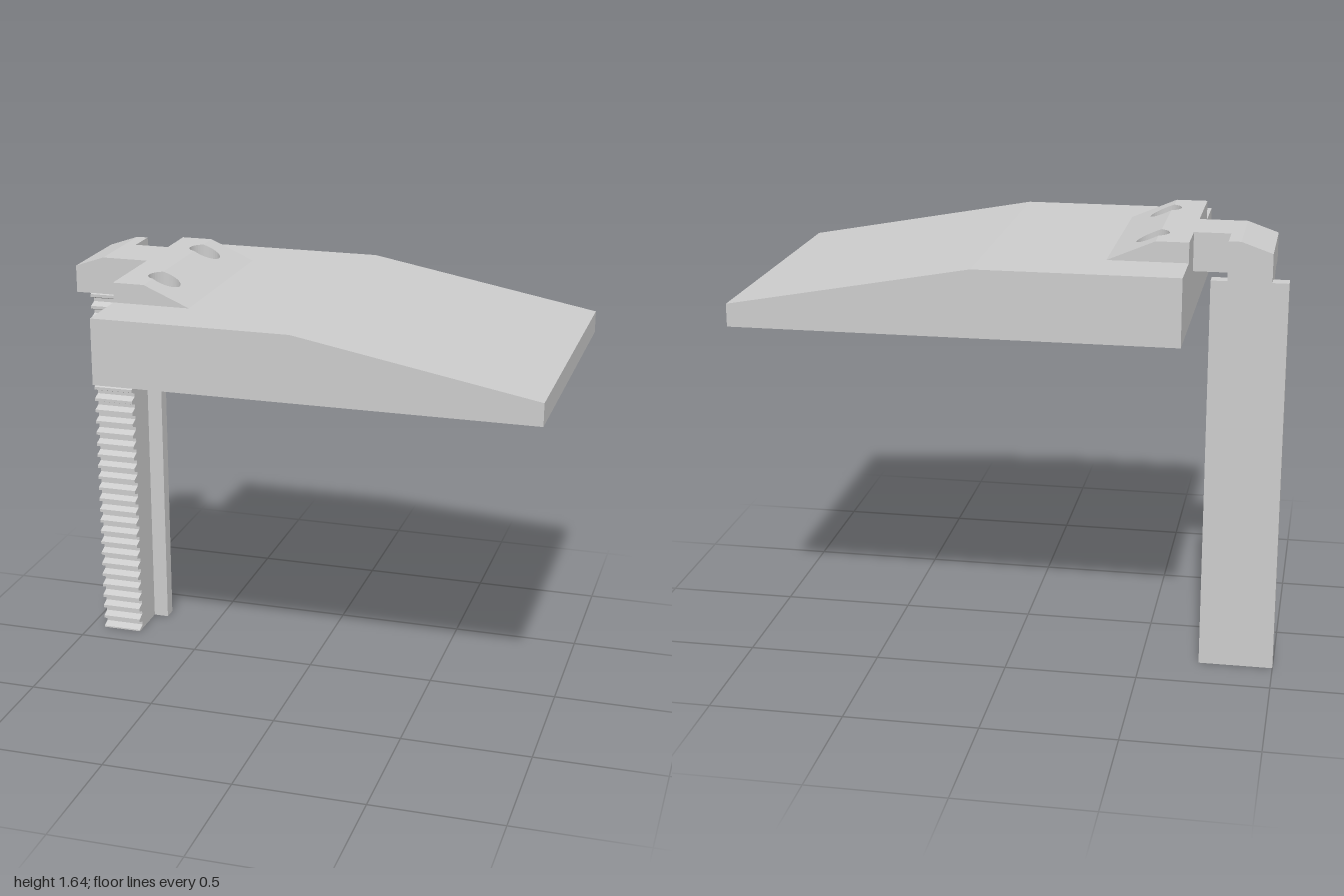
import * as THREE from 'three';

const material = new THREE.MeshStandardMaterial({ color: 0xcccccc });

const toShape = (pts) => new THREE.Shape(pts.map(([x, y]) => new THREE.Vector2(x, y)));
const extrude = (pts, depth) =>
  new THREE.ExtrudeGeometry(toShape(pts), { depth, bevelEnabled: false });

function add(parent, name, geometry) {
  const mesh = new THREE.Mesh(geometry, material);
  mesh.name = name;
  parent.add(mesh);
}

// Plan outline in (x, -z) raised from yBottom to a height given by top(x)
function slab(pts, yBottom, top) {
  const g = extrude(pts, 1).rotateX(-Math.PI / 2);
  const p = g.attributes.position;
  for (let i = 0; i < p.count; i++) p.setY(i, p.getY(i) > 0.5 ? top(p.getX(i)) : yBottom);
  g.computeVertexNormals();
  return g;
}

// Screw hole arc on one side of the bend line, listed with rising second coordinate
const BEND = -0.525, HOLE_X = -0.5, HOLE_V = 0.225;
function holeArc(v, r, side) {
  const a = Math.acos((BEND - HOLE_X) / r);
  const from = side < 0 ? 2 * Math.PI - a : -a;
  const to = a;
  const n = side < 0 ? 12 : 24;
  return Array.from({ length: n + 1 }, (_, i) => {
    const t = from + ((to - from) * i) / n;
    return [HOLE_X + r * Math.cos(t), v + r * Math.sin(t)];
  });
}
const bendEdge = (r, side) => [
  [BEND, -0.375], ...holeArc(-HOLE_V, r, side), ...holeArc(HOLE_V, r, side), [BEND, 0.375],
];

function createBracket() {
  const bracket = new THREE.Group();
  bracket.name = 'bracket';
  const bottom = 1.5, seat = 1.57, crown = 1.645;

  // Chamfered end above the post
  add(bracket, 'bracketEnd', slab(
    [[-0.94, -0.03], [-0.825, -0.03], [-0.825, 0.33], [-0.94, 0.33]],
    bottom, (x) => 1.605 + ((x + 0.94) / 0.115) * 0.04));

  // Two layers: narrow screw holes below, wide counterbores above
  const layers = [
    ['Lower', 0.033, bottom, () => seat, () => seat],
    ['Upper', 0.06, seat, () => crown, (x) => crown - ((x - BEND) / 0.175) * 0.075],
  ];
  for (const [label, r, y, flat, slope] of layers) {
    add(bracket, 'bracketBody' + label, slab([
      [-0.825, -0.03], [-0.645, -0.03], [-0.645, -0.375], ...bendEdge(r, -1),
      [-0.645, 0.375], [-0.645, 0.2], [-0.78, 0.2], [-0.78, 0.33], [-0.825, 0.33],
    ], y, flat));
    add(bracket, 'bracketLip' + label, slab(
      [...bendEdge(r, 1), [-0.35, 0.375], [-0.35, -0.375]], y, slope));
  }
  return bracket;
}

function createPlate() {
  const plate = new THREE.Group();
  plate.name = 'plate';
  const slope = [[-0.645, 1.32], [1, 1.32], [1, 1.405], [0.1, 1.57]];
  const pocket = [[-0.35, 1.57], [-0.35, 1.5], [-0.645, 1.5]];

  // Centre strip with a pocket for the bracket, plus the two full side strips
  add(plate, 'plateCentre', extrude([...slope, ...pocket], 0.75).translate(0, 0, -0.375));
  for (const [name, z] of [['plateBack', -0.6], ['plateFront', 0.375]]) {
    add(plate, name, extrude([...slope, [-0.645, 1.57]], 0.225).translate(0, 0, z));
  }
  return plate;
}

function createPost() {
  const post = new THREE.Group();
  post.name = 'post';
  const height = 1.5, teeth = 31, pitch = height / teeth;

  // Wide guide flange at the back
  add(post, 'guideFlange', new THREE.BoxGeometry(0.28, height, 0.055).translate(-0.86, height / 2, -0.3025));

  // Toothed rack, side profile in (z, y)
  const profile = [[-0.275, 0]];
  const root = -0.132, tip = -0.1;
  for (let i = 0; i < teeth; i++) {
    const y = i * pitch;
    profile.push(
      [tip, y], [tip, y + pitch * 0.12], [root, y + pitch * 0.36],
      [root, y + pitch * 0.64], [tip, y + pitch * 0.88]);
  }
  profile.push([tip, height], [-0.275, height]);
  add(post, 'toothedRack', extrude(profile, 0.16).rotateY(-Math.PI / 2).translate(-0.78, 0, 0));
  return post;
}

export function createModel() {
  const model = new THREE.Group();
  model.name = 'rackMountedShelf';
  model.add(createPlate(), createBracket(), createPost());
  return model;
}
